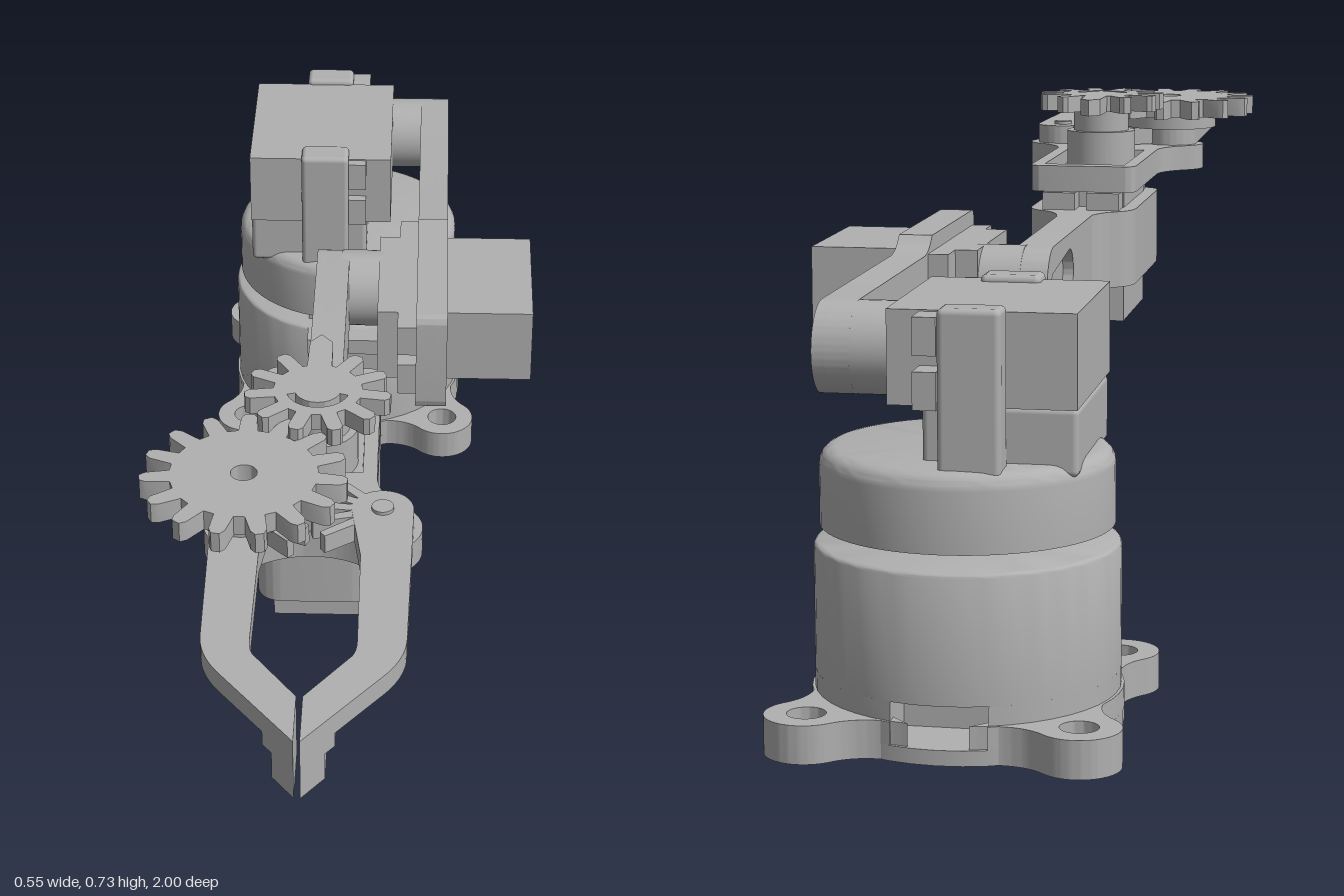
import * as THREE from 'three';
import { toCreasedNormals } from 'three/addons/utils/BufferGeometryUtils.js';
import { RoundedBoxGeometry } from 'three/addons/geometries/RoundedBoxGeometry.js';

const PI = Math.PI;
const CX = -0.042; // centre line of the forearm and gripper
const BX = -0.036, BZ = -0.777; // axis of the base

export function createModel() {
  const model = new THREE.Group();
  const grey = new THREE.MeshStandardMaterial({ color: 0xb0b0b0 });
  grey.name = 'plain grey';

  const add = (name, geo, parent = model) => {
    const mesh = new THREE.Mesh(geo, grey);
    mesh.name = name;
    parent.add(mesh);
    return mesh;
  };
  const box = (name, x0, x1, y0, y1, z0, z1, r = 0) => {
    const s = [x1 - x0, y1 - y0, z1 - z0];
    const g = r ? new RoundedBoxGeometry(...s, 3, r) : new THREE.BoxGeometry(...s);
    return add(name, g.translate((x0 + x1) / 2, (y0 + y1) / 2, (z0 + z1) / 2));
  };
  const extrude = (shape, depth) => new THREE.ExtrudeGeometry(shape, { depth, bevelEnabled: false, curveSegments: 20 });
  // shape drawn in (x, z), raised from y0 to y1
  const prismY = (shape, y0, y1) => toCreasedNormals(extrude(shape, y1 - y0).rotateX(PI / 2).translate(0, y1, 0), 0.6);
  // shape drawn in (z, y), spanning x0 to x1
  const prismX = (shape, x0, x1) => toCreasedNormals(extrude(shape, x1 - x0).rotateY(-PI / 2).translate(x1, 0, 0), 0.6);
  const poly = (pts) => new THREE.Shape(pts.map((p) => new THREE.Vector2(p[0], p[1])));
  const circle = (x, y, r) => new THREE.Path().absarc(x, y, r, 0, 2 * PI, true);
  const cylY = (name, x, z, r, y0, y1) =>
    add(name, new THREE.CylinderGeometry(r, r, y1 - y0, 40).translate(x, (y0 + y1) / 2, z));
  const cylX = (name, z, y, r, x0, x1) =>
    add(name, new THREE.CylinderGeometry(r, r, x1 - x0, 40).rotateZ(PI / 2).translate((x0 + x1) / 2, y, z));
  const drum = (name, r, y0, y1, f) => {
    const pts = [[0, y0], [r, y0], [r, y1 - f]].map((p) => new THREE.Vector2(...p));
    for (let i = 1; i <= 5; i++) {
      const a = (i / 5) * PI / 2;
      pts.push(new THREE.Vector2(r - f + f * Math.cos(a), y1 - f + f * Math.sin(a)));
    }
    pts.push(new THREE.Vector2(0, y1));
    add(name, toCreasedNormals(new THREE.LatheGeometry(pts, 64), 0.6).translate(BX, 0, BZ));
  };

  // --- Base: floor disc, notched wall with cable opening at the back, drum, four ears
  const notched = (r) => {
    const d = Math.asin(0.062 / r);
    const s = new THREE.Shape().absarc(0, 0, r, -PI / 2 + d, 1.5 * PI - d, false);
    s.lineTo(-0.062, -0.11);
    s.lineTo(0.062, -0.11);
    return s;
  };
  cylY('baseFloor', BX, BZ, 0.203, 0, 0.02);
  add('basePlate', prismY(notched(0.203), 0.02, 0.05).translate(BX, 0, BZ));
  add('baseWall', prismY(notched(0.199), 0.05, 0.075).translate(BX, 0, BZ));
  drum('baseDrum', 0.199, 0.075, 0.243, 0.008);
  for (let i = 0; i < 4; i++) {
    const ear = new THREE.Shape();
    ear.moveTo(0.165, -0.11);
    ear.quadraticCurveTo(0.195, -0.054, 0.245, -0.054);
    ear.absarc(0.245, 0, 0.054, -PI / 2, PI / 2, false);
    ear.quadraticCurveTo(0.195, 0.054, 0.165, 0.11);
    ear.holes.push(circle(0.245, 0, 0.025));
    add('mountingEar', prismY(ear, 0, 0.05).rotateY(PI / 4 + i * PI / 2).translate(BX, 0, BZ));
  }
  box('frontPanel', -0.1, 0.027, 0.02, 0.215, -0.66, -0.575);
  for (const [a, b] of [[-0.1, -0.045], [-0.028, 0.027]]) box('baseServoTab', a, b, 0.215, 0.243, -0.66, -0.55);
  box('baseServoNeck', -0.1, 0.027, 0.2, 0.27, -0.84, -0.62);

  // --- Turntable and shoulder servo held between two posts
  drum('turntable', 0.191, 0.265, 0.366, 0.022);
  box('shoulderPedestal', -0.198, 0.0, 0.35, 0.437, -0.89, -0.64, 0.008);
  box('shoulderServo', -0.198, 0.042, 0.437, 0.558, -0.9, -0.626);
  for (const [z0, z1] of [[-0.945, -0.897], [-0.66, -0.61]]) {
    box('shoulderPost', -0.11, -0.03, 0.355, 0.567, z0, z1, 0.008);
    for (const [y0, y1] of [[0.44, 0.488], [0.508, 0.556]]) box('shoulderServoTab', -0.03, 0.0, y0, y1, z0, z1);
  }
  cylX('shoulderShaft', -0.836, 0.498, 0.06, 0.035, 0.095);

  // Teardrop horn pocket beginning at the joint (z, y)
  const pocket = (z) => {
    const p = new THREE.Path();
    p.absarc(z, 0.498, 0.022, PI / 2, 1.5 * PI, false);
    p.lineTo(z + 0.13, 0.462);
    p.absarc(z + 0.14, 0.498, 0.037, -PI / 2, PI / 2, false);
    p.closePath();
    return p;
  };

  // --- Upper arm: round shoulder end flaring into the elbow servo bracket
  const armOutline = (recess) => {
    const s = new THREE.Shape();
    s.absarc(-0.836, 0.498, 0.06, PI / 2, 1.5 * PI, false);
    s.lineTo(-0.44, 0.438);
    s.quadraticCurveTo(-0.41, 0.436, -0.39, 0.415);
    s.lineTo(-0.1, 0.415);
    s.quadraticCurveTo(-0.085, 0.415, -0.085, 0.43);
    s.lineTo(-0.085, 0.566);
    s.quadraticCurveTo(-0.085, 0.581, -0.1, 0.581);
    s.lineTo(-0.39, 0.581);
    s.quadraticCurveTo(-0.41, 0.56, -0.44, 0.558);
    s.closePath();
    s.holes.push(circle(-0.105, 0.498, 0.01), circle(-0.388, 0.498, 0.01));
    if (recess) s.holes.push(pocket(-0.85));
    return s;
  };
  add('upperArm', prismX(armOutline(false), 0.091, 0.122));
  add('upperArmFace', prismX(armOutline(true), 0.122, 0.139));
  box('elbowServo', 0.03, 0.272, 0.437, 0.558, -0.37, -0.14);
  for (const [z0, z1] of [[-0.42, -0.365], [-0.145, -0.095]])
    for (const [y0, y1] of [[0.437, 0.49], [0.508, 0.558]]) box('elbowServoTab', 0.062, 0.091, y0, y1, z0, z1);

  // --- Forearm: elbow hub, straight link with pocket, flared wrist holder
  cylX('elbowHub', -0.31, 0.498, 0.061, -0.03, 0.04);
  const link = (recess) => {
    const s = new THREE.Shape();
    s.absarc(-0.31, 0.498, 0.06, PI / 2, 1.5 * PI, false);
    s.lineTo(0.05, 0.438);
    s.lineTo(0.05, 0.558);
    s.closePath();
    if (recess) s.holes.push(pocket(-0.31));
    return s;
  };
  add('forearm', prismX(link(false), -0.054, -0.018));
  add('forearmFace', prismX(link(true), -0.07, -0.054));
  const holder = new THREE.Shape();
  holder.moveTo(-0.025, 0.03);
  holder.lineTo(0.025, 0.03);
  holder.quadraticCurveTo(0.03, 0.08, 0.06, 0.098);
  holder.quadraticCurveTo(0.084, 0.115, 0.084, 0.15);
  holder.lineTo(0.084, 0.4);
  holder.quadraticCurveTo(0.084, 0.44, 0.045, 0.44);
  holder.lineTo(-0.045, 0.44);
  holder.quadraticCurveTo(-0.084, 0.44, -0.084, 0.4);
  holder.lineTo(-0.084, 0.15);
  holder.quadraticCurveTo(-0.084, 0.115, -0.06, 0.098);
  holder.quadraticCurveTo(-0.03, 0.08, -0.025, 0.03);
  add('wristHolder', prismY(holder, 0.438, 0.558).translate(CX, 0, 0));
  box('gripperServo', CX - 0.063, CX + 0.063, 0.375, 0.605, 0.155, 0.388);
  for (const s of [-1, 1]) box('gripperServoTab', CX + s * 0.035 - 0.026, CX + s * 0.035 + 0.026, 0.558, 0.585, 0.11, 0.42);

  // --- Gripper base plate: servo frame with two pivot lobes
  const plate = new THREE.Shape();
  plate.moveTo(-0.065, 0.125);
  plate.lineTo(0.065, 0.125);
  plate.quadraticCurveTo(0.084, 0.125, 0.084, 0.15);
  plate.lineTo(0.084, 0.4);
  plate.quadraticCurveTo(0.086, 0.44, 0.12, 0.467);
  plate.absarc(0.094, 0.515, 0.054, -PI / 3, PI / 2, false);
  plate.quadraticCurveTo(0.05, 0.53, 0, 0.53);
  plate.quadraticCurveTo(-0.05, 0.53, -0.094, 0.569);
  plate.absarc(-0.094, 0.515, 0.054, PI / 2, PI * 4 / 3, false);
  plate.quadraticCurveTo(-0.086, 0.44, -0.084, 0.4);
  plate.lineTo(-0.084, 0.15);
  plate.quadraticCurveTo(-0.084, 0.125, -0.065, 0.125);
  plate.holes.push(circle(0.094, 0.515, 0.016), circle(-0.094, 0.515, 0.016));
  plate.holes.push(poly([[-0.064, 0.154], [-0.064, 0.389], [0.064, 0.389], [0.064, 0.154]]));
  add('gripperPlate', prismY(plate, 0.585, 0.626).translate(CX, 0, 0));

  // --- Mirrored fingers with bent tips
  const finger = new THREE.Shape();
  finger.moveTo(0.136, 0.515);
  finger.lineTo(0.131, 0.79);
  finger.quadraticCurveTo(0.131, 0.83, 0.105, 0.865);
  finger.lineTo(0.004, 0.995);
  finger.lineTo(0.004, 0.91);
  finger.lineTo(0.062, 0.83);
  finger.quadraticCurveTo(0.068, 0.82, 0.068, 0.8);
  finger.lineTo(0.067, 0.62);
  finger.lineTo(0.052, 0.515);
  finger.absarc(0.094, 0.515, 0.042, PI, 2 * PI, false);
  const tip = poly([[0.004, 0.995], [0.033, 0.957], [0.033, 0.888], [0.022, 0.885], [0.004, 0.91]]);
  const gusset = poly([[0.004, 0.995], [0.045, 0.942], [0.045, 0.87], [0.022, 0.885], [0.004, 0.91]]);
  for (const [s, side] of [[1, 'left'], [-1, 'right']]) {
    const flip = (shape) => new THREE.Shape(shape.getPoints(12).map((p) => new THREE.Vector2(CX + s * p.x, p.y)));
    add(side + 'Finger', prismY(flip(finger), 0.626, 0.656));
    add(side + 'FingerTip', prismY(flip(tip), 0.565, 0.626));
    add(side + 'FingerGusset', prismY(flip(gusset), 0.605, 0.626));
    // meshing teeth at the inner side of each pivot
    for (let i = 0; i < 5; i++) {
      const a = PI + (i - 2 + (s > 0 ? 0.25 : -0.25)) * 0.36;
      const at = (r, w) => [0.094 + r * Math.cos(a + w), 0.515 + r * Math.sin(a + w)];
      add(side + 'FingerTooth', prismY(flip(poly([at(0.03, -0.25), at(0.098, -0.06), at(0.098, 0.06), at(0.03, 0.25)])), 0.627, 0.655));
    }
  }
  cylY('leftPivot', CX + 0.094, 0.515, 0.015, 0.585, 0.661);

  // --- Gears: a full one on the right finger and a part gear with a tail on the servo
  const gear = (n, root, outer, tail) => {
    const pts = [], step = 2 * PI / n;
    for (let i = 0; i < n; i++) {
      const a = -PI / 2 + i * step;
      const put = (r, f) => pts.push([r * Math.cos(a + f * step), r * Math.sin(a + f * step)]);
      if (i === 0 && tail) {
        put(root, -0.5);
        pts.push([-0.016, -tail + 0.02], [0, -tail], [0.016, -tail + 0.02]);
        put(root, 0.5);
      } else {
        put(root, -0.32); put(outer * 0.94, -0.2); put(outer, -0.1);
        put(outer, 0.1); put(outer * 0.94, 0.2); put(root, 0.32);
      }
    }
    return poly(pts);
  };
  const big = gear(15, 0.1, 0.14, 0);
  big.holes.push(circle(0, 0, 0.018));
  cylY('gearSpacer', CX - 0.094, 0.51, 0.075, 0.656, 0.68);
  add('fingerGear', prismY(big, 0.678, 0.708).translate(CX - 0.092, 0, 0.51));
  const small = gear(11, 0.062, 0.102, 0.142);
  const slot = new THREE.Path();
  slot.absarc(0, 0, 0.044, 0.3, PI - 0.3, false);
  slot.absarc(0, 0, 0.032, PI - 0.3, 0.3, true);
  small.holes.push(slot);
  cylY('servoNeck', CX, 0.33, 0.056, 0.6, 0.665);
  cylY('servoShaft', CX, 0.33, 0.045, 0.66, 0.7);
  add('servoGear', prismY(small, 0.699, 0.725).translate(CX, 0, 0.332));
  return model;
}
